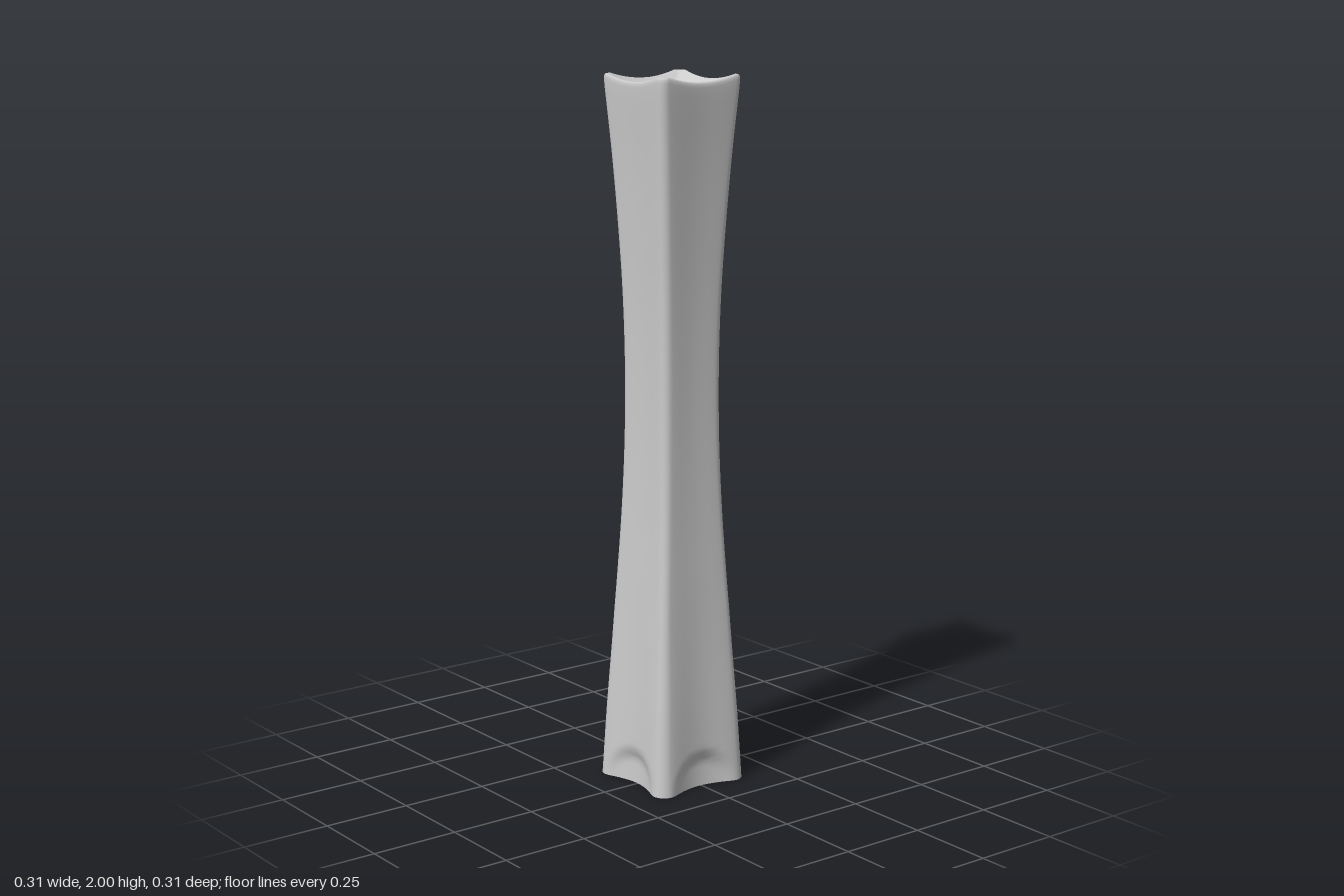
import * as THREE from 'three';

const SIDE = 20, ARC = 7;

// One rounded-square section; h: half width, r: corner radius, y: height,
// dip: how far the middle of each side sags (used near the rim)
function section({ h, r, y, dip = 0 }) {
  const pts = [];
  const flat = h - r;
  for (let k = 0; k < 4; k++) {
    const side = [];
    for (let i = 0; i < SIDE; i++) {
      const t = -1 + (2 * i) / SIDE;
      const bow = (1 - t * t) ** 2;
      // arched hollow pressed into each side at the foot
      const arch = THREE.MathUtils.smoothstep(1.15 - (y / 0.1) ** 2 - t * t, 0, 0.7);
      const hollow = (0.004 + 0.008 * Math.max(0, 1 - y / 0.6)) * bow + 0.016 * arch * (1 - t * t);
      side.push([t * flat, h - hollow * Math.min(1, h / 0.15), y - dip * (1 - t * t)]);
    }
    for (let i = 0; i < ARC; i++) {
      const a = (i / ARC) * Math.PI / 2;
      side.push([flat + r * Math.sin(a), flat + r * Math.cos(a), y]);
    }
    for (const [u, v, py] of side) {
      let x = u, z = v;
      for (let q = 0; q < k; q++) [x, z] = [z, -x];
      pts.push(x, py, z);
    }
  }
  return pts;
}

// Skin over a list of sections
function loft(name, rings, material) {
  const n = 4 * (SIDE + ARC);
  const index = [];
  for (let j = 0; j < rings.length - 1; j++) {
    for (let i = 0; i < n; i++) {
      const a = j * n + i, b = j * n + ((i + 1) % n);
      index.push(a, b, b + n, a, b + n, a + n);
    }
  }
  const geo = new THREE.BufferGeometry();
  geo.setAttribute('position', new THREE.Float32BufferAttribute(rings.flatMap(section), 3));
  geo.setIndex(index);
  geo.computeVertexNormals();
  const mesh = new THREE.Mesh(geo, material);
  mesh.name = name;
  return mesh;
}

export function createModel() {
  const group = new THREE.Group();
  group.name = 'waistedColumn';
  const material = new THREE.MeshStandardMaterial({ color: 0xcccccc });

  // Waisted outline of the shaft: half width against height
  const outline = new THREE.CatmullRomCurve3([
    [0.153, 0], [0.142, 0.2], [0.129, 0.4], [0.117, 0.6], [0.107, 0.8], [0.101, 1],
    [0.1, 1.2], [0.104, 1.4], [0.113, 1.6], [0.125, 1.8], [0.137, 1.96],
  ].map(([h, y]) => new THREE.Vector3(h, y, 0)));

  const shaft = [];
  const STEPS = 80;
  for (let i = 0; i <= STEPS; i++) {
    const p = outline.getPoint((i / STEPS) ** 1.3);
    const y = p.y;
    shaft.push({
      h: p.x, y,
      r: 0.024 + 0.012 * Math.max(0, 1 - y / 0.5),
      dip: 0.016 * THREE.MathUtils.smoothstep(y, 1.7, 1.96),
    });
  }
  // Rounded lip running into the shallow dish on top
  const top = [
    { h: 0.1385, r: 0.024, y: 1.985, dip: 0.017 },
    { h: 0.138, r: 0.024, y: 1.994, dip: 0.017 },
    { h: 0.1355, r: 0.023, y: 1.999, dip: 0.017 },
    { h: 0.132, r: 0.022, y: 2, dip: 0.017 },
    { h: 0.128, r: 0.021, y: 1.997, dip: 0.016 },
    { h: 0.118, r: 0.02, y: 1.986, dip: 0.012 },
    { h: 0.103, r: 0.018, y: 1.973, dip: 0.007 },
    { h: 0.085, r: 0.015, y: 1.962, dip: 0.003 },
    { h: 0.066, r: 0.01, y: 1.955, dip: 0.001 },
    { h: 0.058, r: 0.008, y: 1.954 },
    { h: 0, r: 0, y: 1.954 },
  ];
  group.add(loft('shaftAndDish', [...shaft, ...top], material));

  // Flat underside
  group.add(loft('base', [
    { h: 0, r: 0, y: 0 },
    { h: 0.153, r: 0.036, y: 0 },
  ], material));

  group.children.forEach((m) => m.position.set(-0.003, 0, 0.009));
  return group;
}
